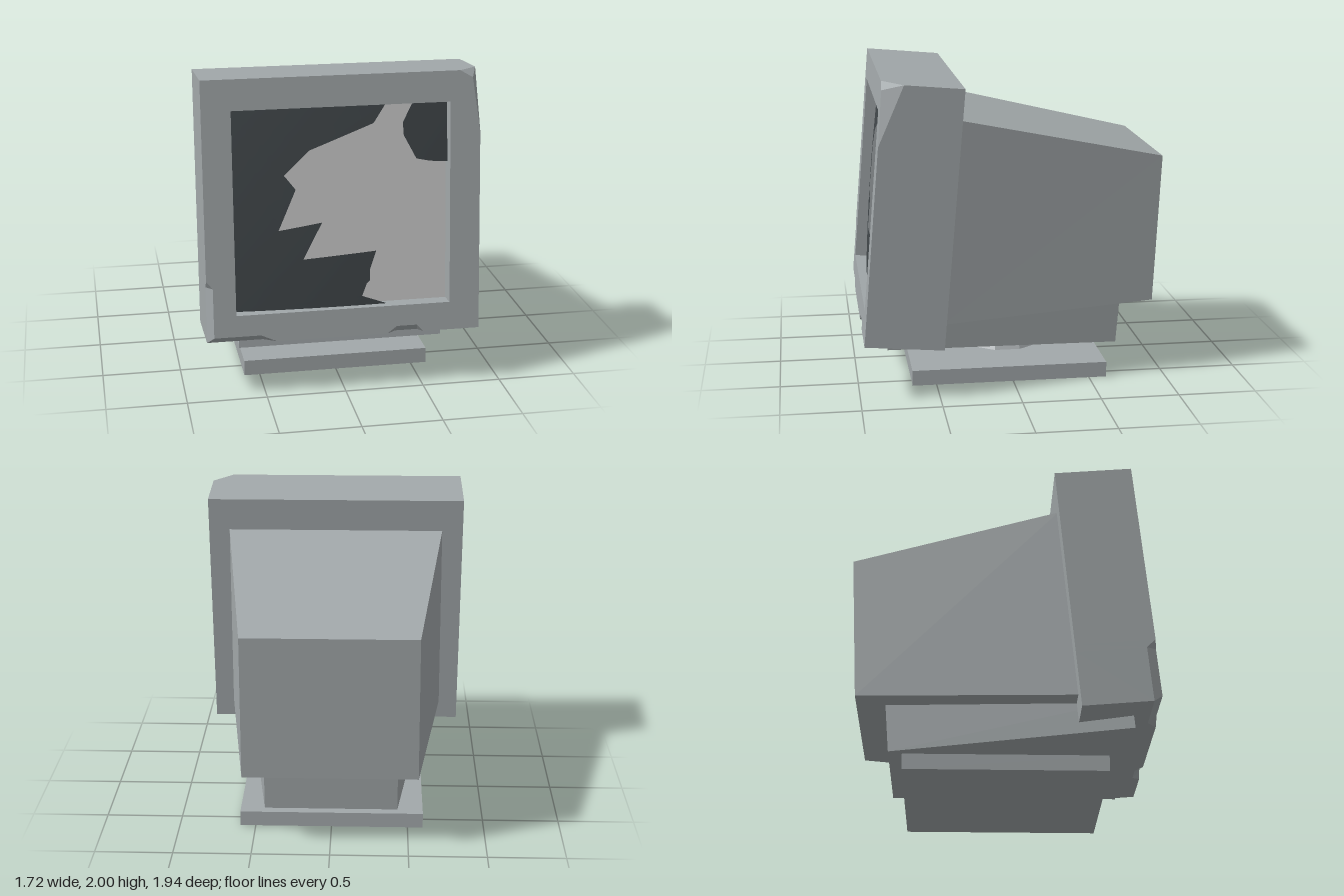
import * as THREE from 'three';
import { mergeVertices } from 'three/addons/utils/BufferGeometryUtils.js';

const material = (color, extra = {}) => new THREE.MeshStandardMaterial({ color, ...extra });
const plastic = material(0xa2a8aa, { flatShading: true });
const glassMat = material(0x41474a, { side: THREE.DoubleSide });
const grey = material(0xcccccc);

function add(parent, name, geometry, mat = plastic) {
  const mesh = new THREE.Mesh(geometry, mat);
  mesh.name = name;
  parent.add(mesh);
  return mesh;
}

function fromTriangles(points) {
  const g = new THREE.BufferGeometry();
  g.setAttribute('position', new THREE.Float32BufferAttribute(points.flat(), 3));
  g.computeVertexNormals();
  return g;
}

// Wall between two matching closed loops (counter-clockwise seen from loop a)
function band(a, b) {
  return a.flatMap((p, i) => {
    const j = (i + 1) % a.length;
    return [p, b[i], a[j], a[j], b[i], b[j]];
  });
}

// Triangle fan that caps a convex loop
const fan = (loop) => loop.slice(1, -1).flatMap((p, i) => [loop[0], p, loop[i + 2]]);

// Solid mirrored in x from side-profile points [z, y, halfWidth]
function mirroredSolid(profile) {
  const left = profile.map(([z, y, w]) => [w, y, z]);
  const right = profile.map(([z, y, w]) => [-w, y, z]);
  return fromTriangles([...band(left, right), ...fan(left), ...fan([...right].reverse())]);
}

// Splits every triangle into four, so that a flat sheet can be curved
function subdivide(tris) {
  const mid = (p, q) => p.map((v, i) => (v + q[i]) / 2);
  const out = [];
  for (let i = 0; i < tris.length; i += 3) {
    const [a, b, c] = tris.slice(i, i + 3);
    const ab = mid(a, b), bc = mid(b, c), ca = mid(c, a);
    out.push(a, ab, ca, ab, b, bc, ca, bc, c, ab, bc, ca);
  }
  return out;
}

// Piece of the bulging screen glass, cut to an outline
function glassShard(outline) {
  const pts = outline.map((p) => new THREE.Vector2(...p));
  let tris = THREE.ShapeUtils.triangulateShape(pts, []).flat().map((i) => [pts[i].x, pts[i].y, 0]);
  for (let k = 0; k < 3; k++) tris = subdivide(tris);
  tris.forEach((p) => {
    const u = p[0] / 0.68, v = (p[1] - 0.82) / 0.64;
    p[2] = -0.085 + 0.03 * (1 - u * u) + 0.015 * (1 - v * v);
  });
  const g = fromTriangles(tris);
  g.deleteAttribute('normal');
  const smooth = mergeVertices(g, 1e-4);
  smooth.computeVertexNormals();
  return smooth;
}

export function createModel() {
  const model = new THREE.Group();
  model.name = 'brokenMonitor';

  // Stand
  add(model, 'base', new THREE.BoxGeometry(1.2, 0.1, 1.27)).position.set(0, 0.05, 0.02);
  add(model, 'neck', new THREE.CylinderGeometry(0.185, 0.275, 0.15, 10)).position.set(0, 0.175, -0.01);

  // Tray under the casing, narrowing to the back
  add(model, 'tray', mirroredSolid([
    [0.815, 0.265, 0.65], [-0.71, 0.18, 0.43], [-0.737, 0.52, 0.43], [0.8, 0.46, 0.65],
  ]));

  // Tapered rear casing
  add(model, 'casing', mirroredSolid([
    [0.47, 0.445, 0.735], [-0.92, 0.5, 0.557], [-0.97, 1.455, 0.55], [0.36, 1.745, 0.722],
  ]));

  // Tilted front part; its origin is the lower front edge
  const head = new THREE.Group();
  head.name = 'screenUnit';
  head.position.set(0, 0.36, 0.97);
  head.rotation.x = -0.0852;
  model.add(head);

  // Bezel outline: front x, y; where chipped, also the x, y, z of the chip on the side
  const W = 0.86, H = 1.646;
  const outline = [
    [-0.82, 0.045, -W, 0, -0.06], [-0.53, 0.045, -0.51, 0, -0.06], [-0.43, 0],
    [0.27, 0], [0.33, 0.045, 0.33, 0, -0.05], [0.46, 0.045, 0.47, 0, -0.05], [0.5, 0],
    [W, 0], [W, 1.26], [0.81, 1.6, W, H, -0.13], [0.73, H],
    [-W, H], [-W, 0.41], [-0.82, 0.36, -W, 0.36, -0.06],
  ];
  const front = outline.map(([x, y]) => [x, y, 0]);
  const side = outline.map(([x, y, sx = x, sy = y, z = 0]) => [sx, sy, z]);
  const back = side.map(([x, y]) => [x, y, -0.5]);
  add(head, 'bezelSides', fromTriangles([
    ...band(front, side), ...band(side, back), ...fan([...back].reverse()),
  ]));

  // Bezel face with the screen opening
  const hole = [[-0.68, 0.18], [-0.68, 1.455], [0.67, 1.455], [0.67, 0.18]];
  const face = new THREE.Shape(outline.map(([x, y]) => new THREE.Vector2(x, y)));
  face.holes.push(new THREE.Path(hole.map((p) => new THREE.Vector2(...p))));
  add(head, 'bezelFace', new THREE.ShapeGeometry(face));

  // Recess walls and the panel behind the glass
  const atDepth = (z) => hole.map(([x, y]) => [x, y, z]);
  add(head, 'screenRecess', fromTriangles(band(atDepth(0), atDepth(-0.11))));
  add(head, 'screenBacking', new THREE.PlaneGeometry(1.35, 1.275), grey).position.set(-0.005, 0.8175, -0.11);

  // Remaining shards of glass
  add(head, 'glassMainShard', glassShard([
    [-0.68, 0.18], [0.28, 0.18], [0.12, 0.24], [0.15, 0.32], [0.17, 0.34], [0.17, 0.41], [0.21, 0.53],
    [-0.25, 0.5], [-0.13, 0.73], [-0.4, 0.69], [-0.29, 0.945], [-0.36, 1.035], [-0.2, 1.185],
    [0.2, 1.335], [0.28, 1.455], [-0.68, 1.455],
  ]), glassMat);
  add(head, 'glassCornerShard', glassShard([
    [0.67, 1.455], [0.45, 1.455], [0.385, 1.33], [0.39, 1.25], [0.47, 1.1], [0.56, 1.08], [0.67, 1.07],
  ]), glassMat);

  return model;
}
